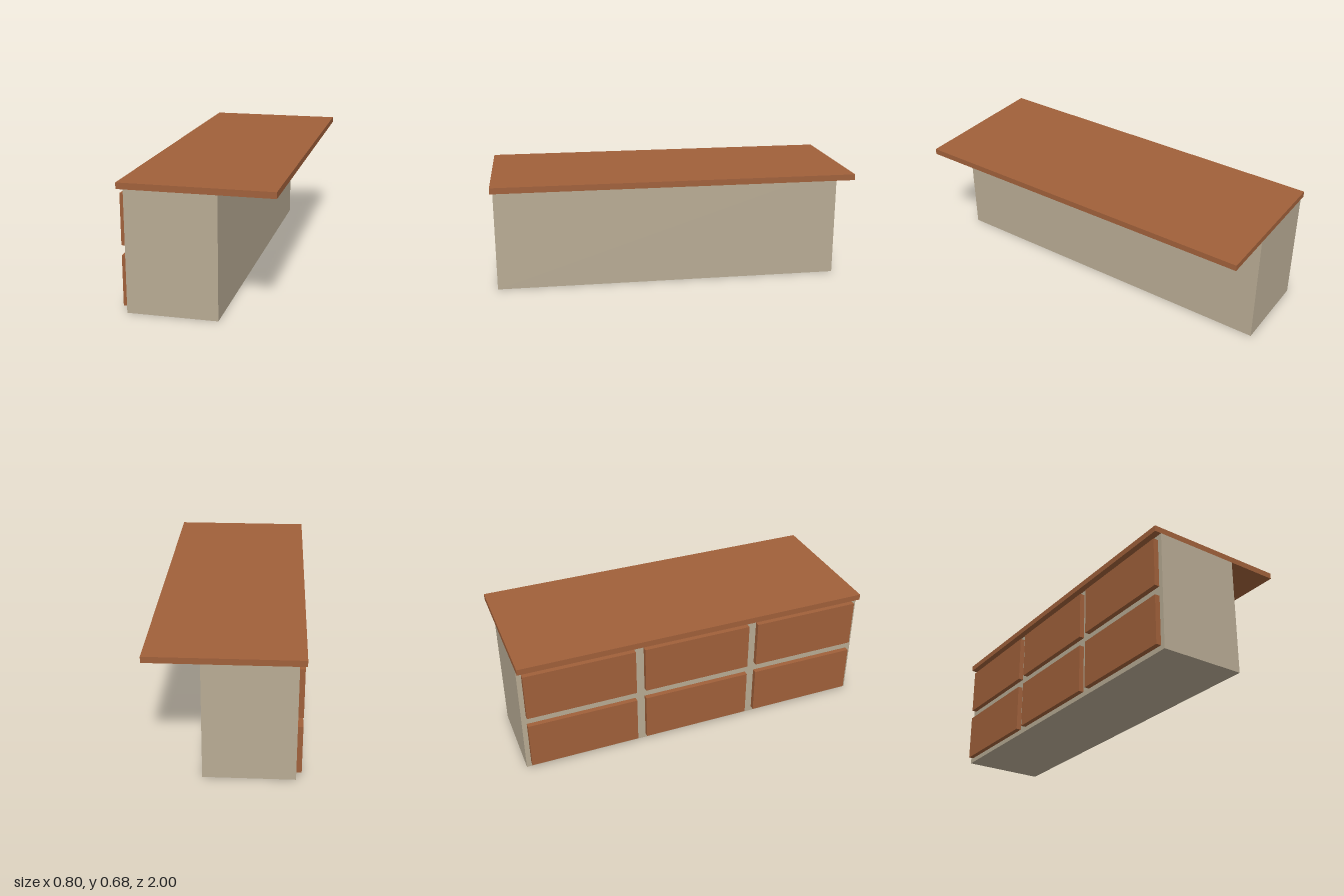
import * as THREE from 'three';

const wood = new THREE.MeshStandardMaterial({ color: 0xa0603a });
const paint = new THREE.MeshStandardMaterial({ color: 0xb8ab94 });

// Box given by its lower and upper corners
function box(name, material, [x0, y0, z0], [x1, y1, z1]) {
  const mesh = new THREE.Mesh(new THREE.BoxGeometry(x1 - x0, y1 - y0, z1 - z0), material);
  mesh.position.set((x0 + x1) / 2, (y0 + y1) / 2, (z0 + z1) / 2);
  mesh.name = name;
  return mesh;
}

export function createModel() {
  const island = new THREE.Group();
  island.name = 'kitchenIsland';

  const bodyLeft = 0.113, bodyRight = -0.363, bodyTop = 0.646;

  // Cabinet body and overhanging countertop
  island.add(box('cabinetBody', paint, [bodyRight, 0, -1], [bodyLeft, bodyTop, 1]));
  island.add(box('countertop', wood, [-0.4, bodyTop, -1], [0.4, 0.679, 1]));

  // Drawer fronts: two rows of three with an even margin around each
  const rows = 2, columns = 3, margin = 0.0267;
  const cellHeight = bodyTop / rows, cellWidth = 2 / columns;
  const drawers = new THREE.Group();
  drawers.name = 'drawerFronts';
  for (let row = 0; row < rows; row++) {
    for (let column = 0; column < columns; column++) {
      const y = row * cellHeight, z = -1 + column * cellWidth;
      drawers.add(box('drawerFront', wood,
        [-0.391, y + margin, z + margin],
        [bodyRight, y + cellHeight - margin, z + cellWidth - margin]));
    }
  }
  island.add(drawers);
  return island;
}
